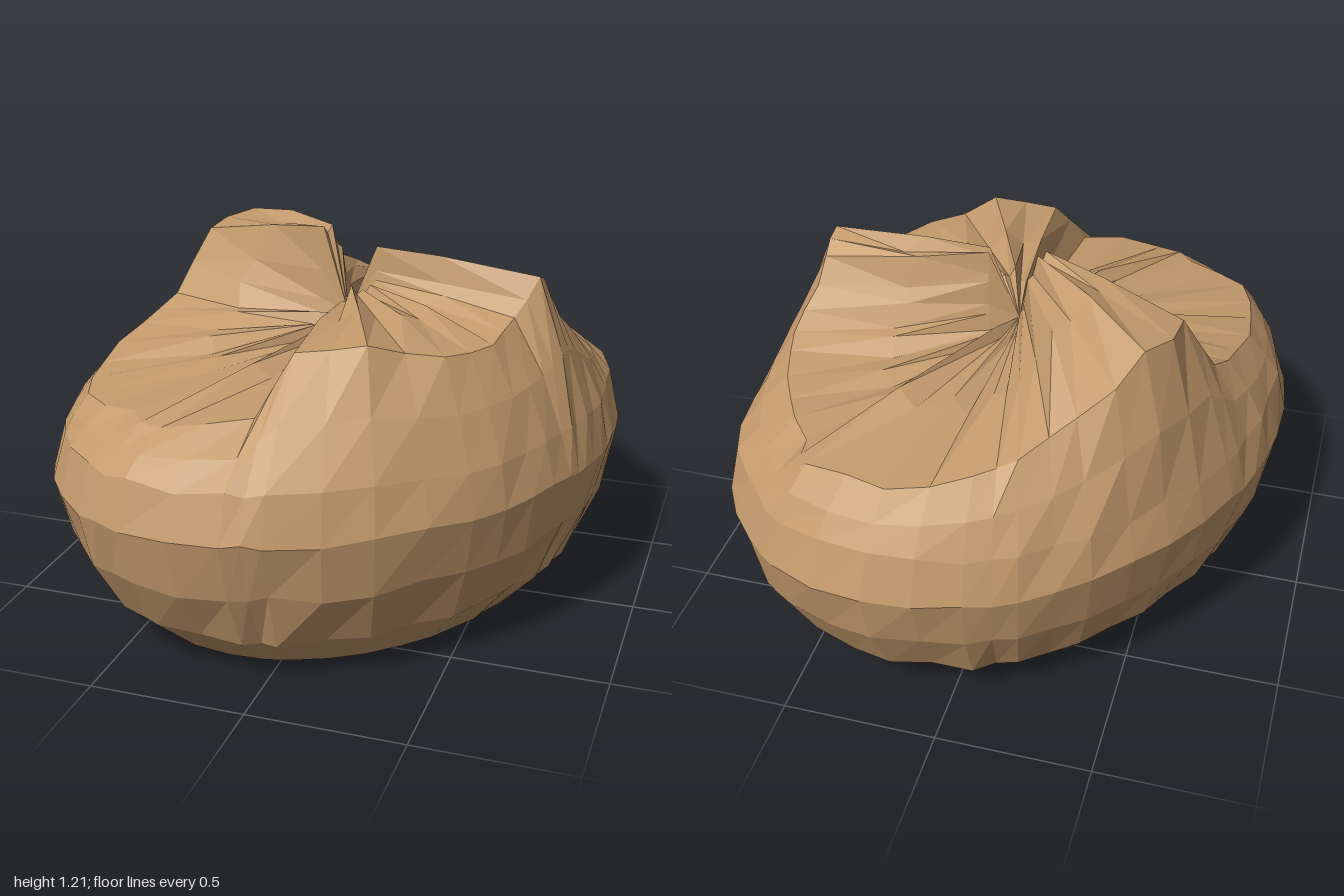
import * as THREE from 'three';

// Folds of the sack mouth: angle from +x towards +z (degrees), rim radius, rim height, mid height, inner height
const FOLDS = [
  [6, .64, 1.13, 1.16, 1.17], [13, .60, 1.02, 1.04, 1.06], [27, .61, .98, 1.03, 1.05],
  [45, .62, .97, 1.03, 1.04], [67, .61, 1.03, 1.06, 1.06], [87, .62, 1.00, 1.03, 1.00],
  [94, .74, .83, .85, .90], [112, .87, .80, .88, .92], [122, .85, .80, .83, .87],
  [137, .88, .79, .85, .91], [152, .80, .81, .87, .90], [172, .71, .85, .91, .93],
  [187, .65, .92, .98, .97], [198, .60, 1.12, 1.18, 1.21], [220, .65, 1.15, 1.20, 1.21],
  [240, .65, .99, 1.12, 1.13], [255, .71, .90, .97, 1.00], [265, .76, .87, .93, .93],
  [282, .84, .83, .88, .91], [300, .89, .83, .91, .94], [307, .82, .81, .83, .87],
  [322, .78, .82, .85, .89], [338, .74, .85, .88, .95], [348, .70, .93, .97, 1.06],
  [357, .65, 1.08, 1.12, 1.16],
];

// Belly rings: height and share of the outline
const BELLY = [[0, .71], [.15, .86], [.34, .955], [.53, 1], [.67, .955]];

// Skewed oval outline of the sack seen from above
function outline(a) {
  const c = Math.cos(a), s = Math.sin(a);
  return Math.sqrt(.717 / (c * c + .4 * c * s + .757 * s * s));
}

// Repeatable wrinkle value in -1..1
function wrinkle(i, j) {
  const v = Math.sin(i * 12.99 + j * 78.23) * 43758.55;
  return (v - Math.floor(v)) * 2 - 1;
}

// Every fold plus the point halfway to the next
function columns() {
  const list = [];
  FOLDS.forEach((f, i) => {
    const n = FOLDS[(i + 1) % FOLDS.length].slice();
    if (n[0] < f[0]) n[0] += 360;
    list.push(f, f.map((v, k) => (v + n[k]) / 2));
  });
  return list;
}

// One vertical strip from the bottom centre, over the rim, into the tied centre
function strip([deg, rimR, rimY, midY, innerY], i) {
  const a = THREE.MathUtils.degToRad(deg), R = outline(a);
  const tooth = i % 2 ? -1 : 1;
  const pts = [[0, .015]];
  BELLY.forEach(([y, s], j) => {
    const lift = j === 0 ? .006 * (1 + tooth) : .012 * wrinkle(i, j);
    const swell = j < 2 ? .01 * tooth : j === 3 ? 0 : .01 * wrinkle(i, j + 9);
    pts.push([R * s + swell, y + lift]);
  });
  const [y0, s0] = BELLY[BELLY.length - 1];
  pts.push([(R * s0 + rimR) / 2 + .015, (y0 + rimY) / 2]);
  const pleat = i % 2 ? -.025 : 0;
  pts.push([rimR + .015 * wrinkle(i, 17), rimY + .01 * wrinkle(i, 19)]);
  pts.push([rimR * (.56 + .07 * wrinkle(i, 23)), midY + pleat + .01 * wrinkle(i, 21)]);
  pts.push([.1, innerY + pleat]);
  pts.push([0, .93]);
  return pts.map(([r, y]) => [r * Math.cos(a), y, r * Math.sin(a)]);
}

function sackGeometry() {
  const strips = columns().map(strip);
  const n = strips.length, rows = strips[0].length;
  const pos = [];
  const face = (...corners) => corners.forEach(p => pos.push(...p));
  for (let i = 0; i < n; i++) {
    const s = strips[i], t = strips[(i + 1) % n];
    for (let j = 0; j < rows - 1; j++) {
      if (j > 0) face(t[j], s[j], s[j + 1]);
      if (j < rows - 2) face(t[j], s[j + 1], t[j + 1]);
    }
  }
  const g = new THREE.BufferGeometry();
  g.setAttribute('position', new THREE.Float32BufferAttribute(pos, 3));
  g.computeVertexNormals();
  return g;
}

export function createModel() {
  const model = new THREE.Group();
  model.name = 'sack';
  const cloth = new THREE.MeshStandardMaterial({ color: 0xc49a6c, flatShading: true });
  const body = new THREE.Mesh(sackGeometry(), cloth);
  body.name = 'sackCloth';
  model.add(body);
  return model;
}
